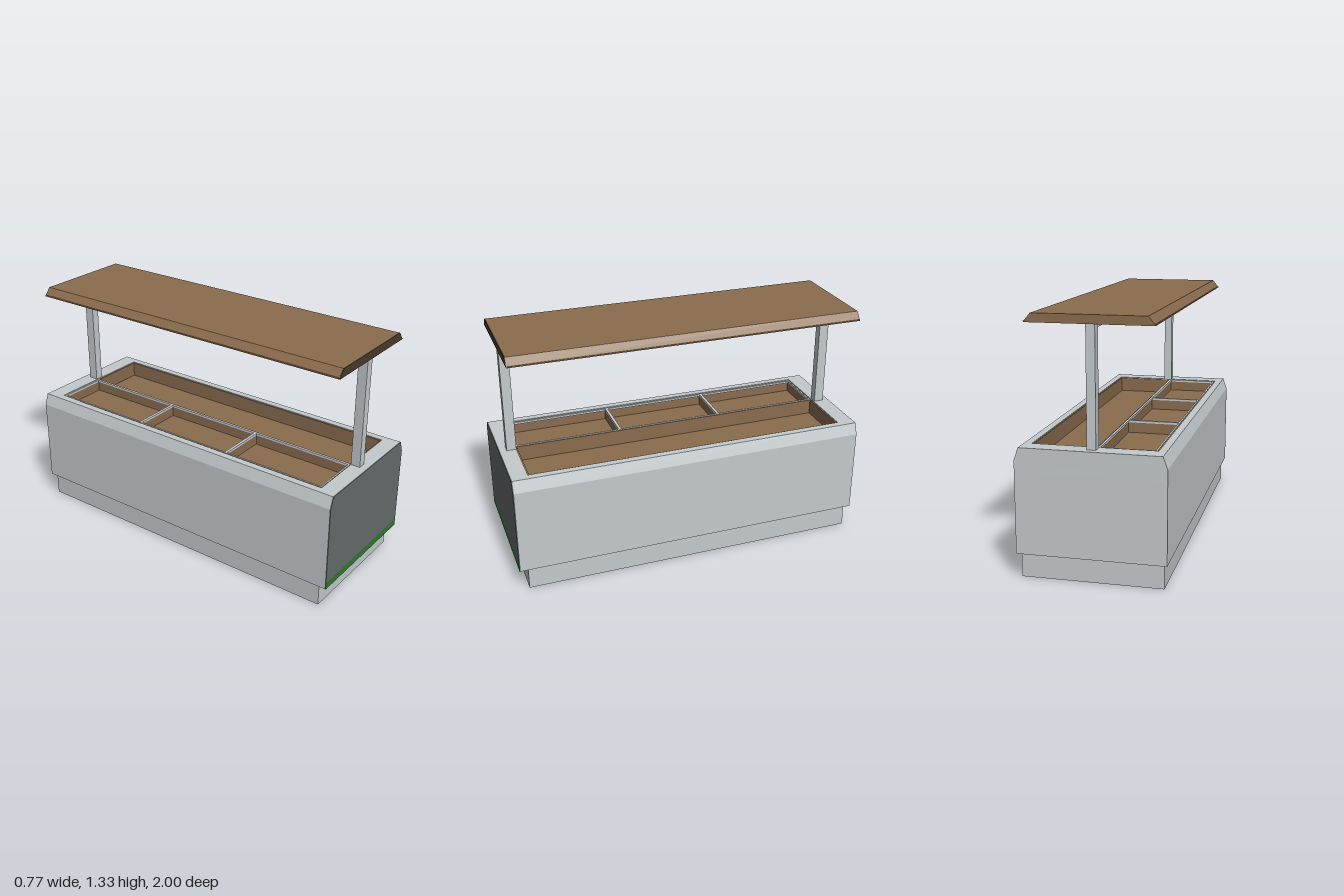
import * as THREE from 'three';

const mat = (name, color) => {
  const m = new THREE.MeshStandardMaterial({ color });
  m.name = name;
  return m;
};

export function createModel() {
  const model = new THREE.Group();
  model.name = 'displayCounter';
  const grey = mat('lightGrey', 0xc4cacd);
  const charcoal = mat('darkGrey', 0x666c6e);
  const green = mat('green', 0x2d7a30);
  const brown = mat('brown', 0x8a6c4e);
  const darkBrown = mat('darkBrown', 0x4b3b2b);

  const add = (name, geo, material, parent = model) => {
    const mesh = new THREE.Mesh(geo, material);
    mesh.name = name;
    parent.add(mesh);
    return mesh;
  };
  // Box given by its limits on each axis
  const box = (name, material, [x0, x1], [y0, y1], [z0, z1], parent) => {
    const geo = new THREE.BoxGeometry(x1 - x0, y1 - y0, z1 - z0);
    geo.translate((x0 + x1) / 2, (y0 + y1) / 2, (z0 + z1) / 2);
    return add(name, geo, material, parent);
  };
  const outline = (pts) => new THREE.Shape(pts.map(([x, y]) => new THREE.Vector2(x, y)));
  const rect = (x0, x1, y0, y1) => outline([[x0, y0], [x1, y0], [x1, y1], [x0, y1]]);
  // Profile in x and y, drawn out from z0 to z1
  const prism = (name, material, pts, z0, z1) => {
    const geo = new THREE.ExtrudeGeometry(outline(pts), { depth: z1 - z0, bevelEnabled: false });
    return add(name, geo.translate(0, 0, z0), material);
  };
  // Flat frame with rectangular holes; outer and holes are [x0, x1, z0, z1]
  const frame = (name, material, outer, holes, y0, y1) => {
    const flip = ([x0, x1, z0, z1]) => rect(x0, x1, -z1, -z0);
    const shape = flip(outer);
    holes.forEach((h) => shape.holes.push(flip(h)));
    const geo = new THREE.ExtrudeGeometry(shape, { depth: y1 - y0, bevelEnabled: false });
    return add(name, geo.rotateX(-Math.PI / 2).translate(0, y0, 0), material);
  };

  const TOP = 0.677, FRONT = 0.994;

  // Plinth and main body
  box('plinth', grey, [-0.365, 0.365], [0, 0.13], [-0.97, 0.95]);
  box('lowerBody', grey, [-0.383, 0.383], [0.13, 0.55], [-1, FRONT]);

  // Rim around the opening, with chamfered long sides
  for (const s of [-1, 1]) {
    const pts = [[0.32, 0.55], [0.383, 0.55], [0.383, 0.613], [0.36, TOP], [0.32, TOP]]
      .map(([x, y]) => [x * s, y]);
    prism(s > 0 ? 'leftRim' : 'rightRim', grey, pts, -1, FRONT);
  }
  box('frontRim', grey, [-0.32, 0.32], [0.55, TOP], [0.905, FRONT]);
  box('backRim', grey, [-0.32, 0.32], [0.55, TOP], [-1, -0.905]);

  // Front panel and its coloured band
  prism('frontPanel', charcoal,
    [[-0.383, 0.17], [0.383, 0.17], [0.383, 0.613], [0.36, TOP], [-0.36, TOP], [-0.383, 0.613]],
    FRONT, 1);
  box('frontBand', green, [-0.383, 0.383], [0.13, 0.17], [FRONT, 1]);

  // Lined wells
  const well = (name, x0, x1, z0, z1, depth) => {
    const g = new THREE.Group();
    g.name = name;
    model.add(g);
    const t = 0.008, y = [TOP - depth, TOP - 0.004];
    box('wellFloor', brown, [x0, x1], [0.55, TOP - depth], [z0, z1], g);
    box('wellSide', brown, [x0, x0 + t], y, [z0, z1], g);
    box('wellSide', brown, [x1 - t, x1], y, [z0, z1], g);
    box('wellEnd', brown, [x0 + t, x1 - t], y, [z0, z0 + t], g);
    box('wellEnd', brown, [x0 + t, x1 - t], y, [z1 - t, z1], g);
  };
  well('longWell', -0.018, 0.32, -0.905, 0.905, 0.09);
  const bays = [-0.6, 0, 0.6];
  bays.forEach((z, i) => well('bay' + (i + 1), -0.32, -0.018, z - 0.301, z + 0.301, 0.07));

  // Thin grey divider frame over the three bays
  frame('bayDividers', grey, [-0.312, -0.016, -0.9, 0.9],
    bays.map((z) => [-0.303, -0.028, z - 0.292, z + 0.292]), TOP - 0.014, TOP - 0.002);

  // Posts and top rail
  box('frontPost', grey, [-0.024, 0.022], [TOP, 1.29], [0.905, 0.958]);
  box('backPost', grey, [-0.024, 0.022], [TOP, 1.29], [-0.965, -0.91]);
  box('topRail', grey, [-0.022, 0.02], [1.265, 1.296], [-0.91, 0.905]);

  // Canopy with sloped long sides and a shallow recess underneath
  prism('canopy', brown,
    [[-0.316, 1.295], [0.316, 1.295], [0.285, 1.333], [-0.285, 1.333]], -0.99, 0.964);
  frame('canopyLip', brown, [-0.32, 0.32, -0.99, 0.964],
    [[-0.285, 0.285, -0.955, 0.93]], 1.288, 1.295);
  prism('canopyFrontEdge', darkBrown,
    [[-0.32, 1.288], [0.32, 1.288], [0.285, 1.333], [-0.285, 1.333]], 0.964, 0.97);

  return model;
}
